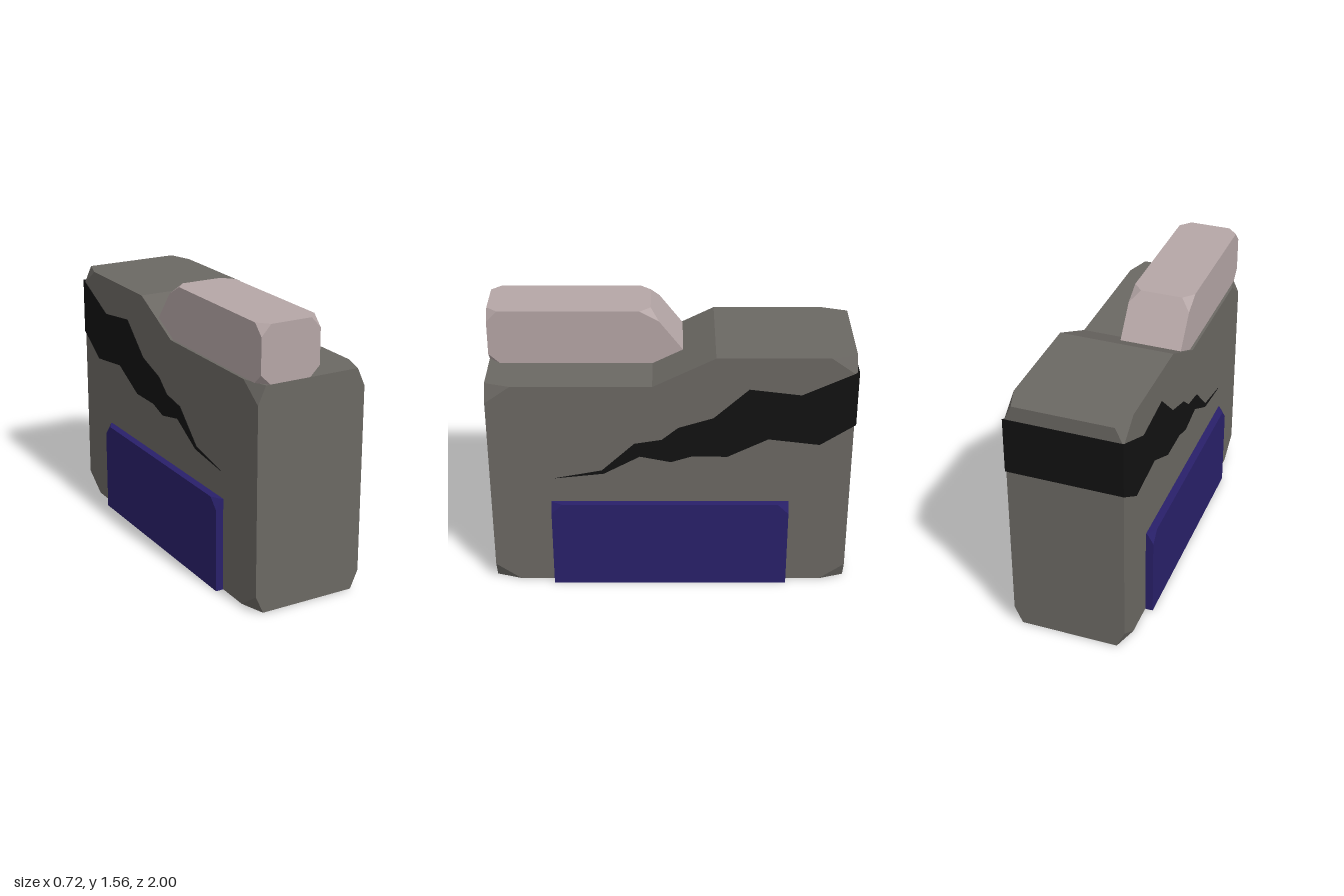
import * as THREE from 'three';

// Slab lofted across x from a side profile of [z, y, cutBack, cutAhead] corners,
// counter-clockwise with z right and y up. Corners with cuts are sliced off at both sides.
function slab(name, profile, x0, x1, inset, color) {
  const full = [], trimmed = [];
  const pts = profile.map(([z, y]) => new THREE.Vector2(z, y));
  profile.forEach(([, , back, ahead], i) => {
    const p = pts[i];
    if (!back) {
      full.push(p);
      trimmed.push(p);
      return;
    }
    const prev = pts[(i + pts.length - 1) % pts.length];
    const next = pts[(i + 1) % pts.length];
    const toward = (q, d) => q.clone().sub(p).setLength(d).add(p);
    full.push(p, p);
    trimmed.push(toward(prev, back), toward(next, ahead));
  });

  const sections = [[x0, trimmed], [x0 + inset, full], [x1 - inset, full], [x1, trimmed]]
    .map(([x, loop]) => loop.map((p) => new THREE.Vector3(x, p.y, p.x)));
  const positions = [];
  const tri = (a, b, c) => {
    if (a.equals(b) || b.equals(c) || c.equals(a)) return;
    for (const v of [a, b, c]) positions.push(v.x, v.y, v.z);
  };

  // walls between neighbouring sections
  const n = full.length;
  for (let s = 0; s < 3; s++) {
    const near = sections[s], far = sections[s + 1];
    for (let i = 0; i < n; i++) {
      const j = (i + 1) % n;
      tri(near[j], near[i], far[i]);
      tri(near[j], far[i], far[j]);
    }
  }
  // flat side caps
  for (const [a, b, c] of THREE.ShapeUtils.triangulateShape(trimmed, [])) {
    tri(sections[0][a], sections[0][b], sections[0][c]);
    tri(sections[3][c], sections[3][b], sections[3][a]);
  }

  const geometry = new THREE.BufferGeometry();
  geometry.setAttribute('position', new THREE.Float32BufferAttribute(positions, 3));
  geometry.computeVertexNormals();
  const mesh = new THREE.Mesh(geometry, new THREE.MeshStandardMaterial({ color, flatShading: true }));
  mesh.name = name;
  return mesh;
}

export function createModel() {
  const group = new THREE.Group();
  group.name = 'steppedBlock';

  // main body with a ramp up to the higher rear
  group.add(slab('body', [
    [-0.99, 0.002, 0.1, 0.14], [1, 0.002, 0.14, 0.1], [1, 1.25, 0.1, 0.14],
    [0.1, 1.25], [-0.24, 1.42], [-0.99, 1.42, 0.14, 0.1],
  ], -0.32, 0.32, 0.045, 0x6b6863));

  // lower band showing as a panel on both sides
  group.add(slab('sidePanels', [
    [-0.655, 0], [0.665, 0], [0.665, 0.53, 0.06, 0.06], [-0.655, 0.53, 0.06, 0.06],
  ], -0.363, 0.361, 0.035, 0x29206a));

  // off-centre block on the low front, its sloped end sunk in the ramp
  group.add(slab('topBlock', [
    [-0.13, 1.25], [1, 1.25, 0.06, 0.055], [1, 1.56, 0.06, 0.06], [0.11, 1.56, 0.06, 0.075],
  ], -0.305, 0.04, 0.055, 0xb5a6a6));

  // jagged dark stripe wrapping the rear
  group.add(slab('jaggedStripe', [
    [-1, 1.34], [-1, 1.02], [-0.81, 0.895], [-0.53, 0.93], [-0.31, 0.82], [-0.11, 0.82],
    [0, 0.785], [0.17, 0.82], [0.37, 0.71], [0.64, 0.68], [0.38, 0.73], [0.2, 0.9],
    [0.05, 0.925], [-0.04, 1], [-0.23, 1.06], [-0.42, 1.235], [-0.7, 1.2],
  ], -0.323, 0.323, 0.01, 0x121212));

  return group;
}
